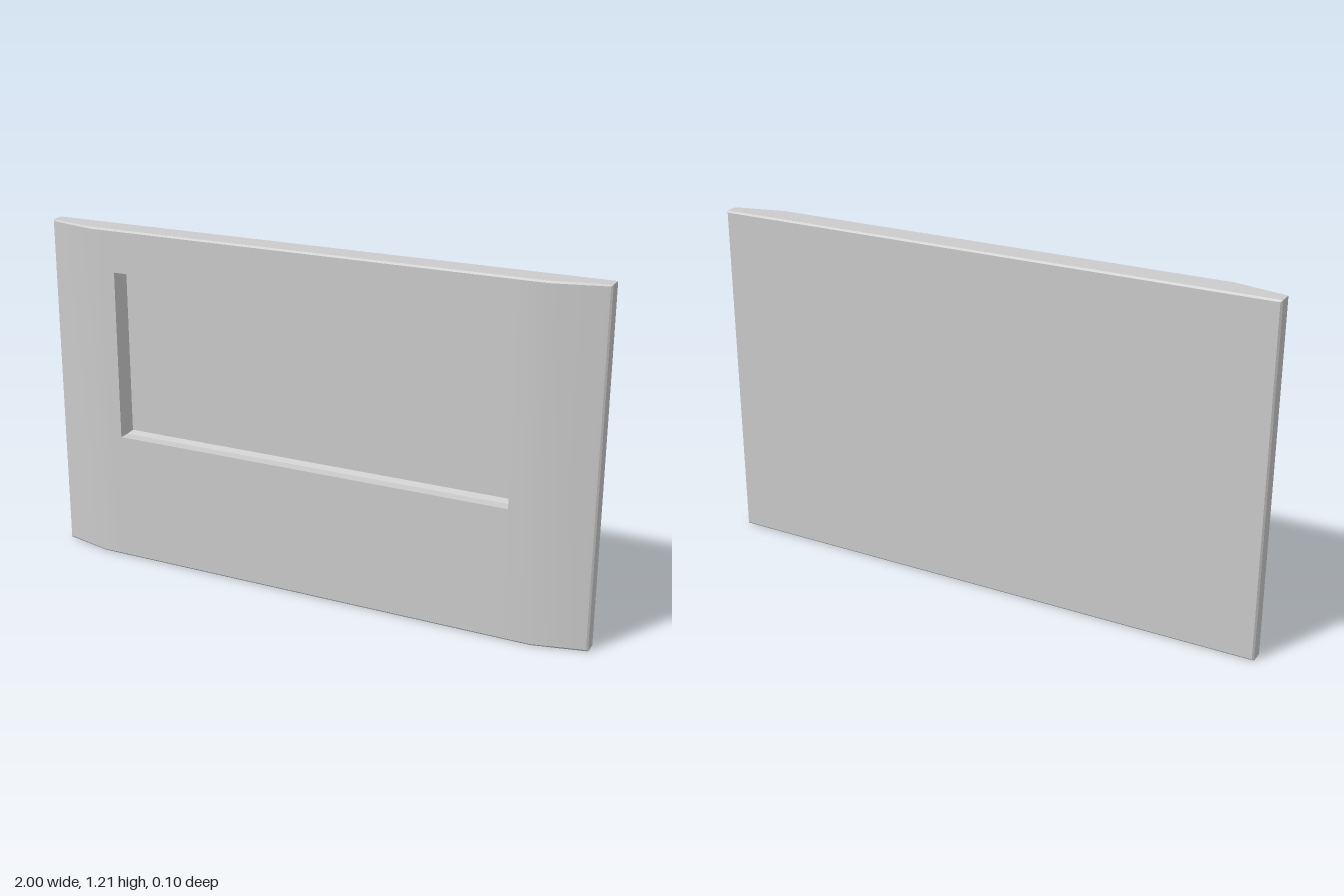
import * as THREE from 'three';
import { toCreasedNormals } from 'three/addons/utils/BufferGeometryUtils.js';

const H = 1.21;   // panel height
const B = 0.006;  // edge bevel
const M = 0.82;   // where the front starts to taper towards the sides

// Rectangular ring, counter-clockwise from the front.
// w: half width, m: x of the extra top and bottom points, zs / zm: depth at the sides / middle
function ring(w, m, y0, y1, zs, zm = zs) {
  return [
    [w, y0, zs], [w, y1, zs], [m, y1, zm], [-m, y1, zm],
    [-w, y1, zs], [-w, y0, zs], [-m, y0, zm], [m, y0, zm],
  ].map((p) => new THREE.Vector3(...p));
}

// Skin consecutive rings, leaving out collapsed triangles
function skin(rings) {
  const pos = [];
  const tri = new THREE.Triangle();
  const add = (a, b, c) => {
    if (tri.set(a, b, c).getArea() < 1e-8) return;
    for (const p of [a, b, c]) pos.push(p.x, p.y, p.z);
  };
  for (let i = 0; i < rings.length - 1; i++) {
    for (let j = 0; j < 8; j++) {
      const k = (j + 1) % 8;
      const [r, s] = [rings[i], rings[i + 1]];
      add(r[j], r[k], s[k]);
      add(r[j], s[k], s[j]);
    }
  }
  const geo = new THREE.BufferGeometry();
  geo.setAttribute('position', new THREE.Float32BufferAttribute(pos, 3));
  return toCreasedNormals(geo, 0.35);
}

export function createModel() {
  const group = new THREE.Group();
  group.name = 'recessedPanel';
  const material = new THREE.MeshStandardMaterial({ color: 0xcccccc });

  const rw = 0.725, ry0 = 0.46, ry1 = 1.06; // recess opening
  const s = 0.01;                           // bevel around the recess floor
  const add = (name, rings) => {
    const mesh = new THREE.Mesh(skin(rings), material);
    mesh.name = name;
    group.add(mesh);
  };

  // Slab: back, bevelled sides, tapered front up to the rim of the opening
  add('panelBody', [
    ring(0, 0, H / 2, H / 2, -0.05),
    ring(1 - B, M, B, H - B, -0.05),
    ring(1, M, 0, H, -0.05 + B),
    ring(1, M, 0, H, 0.002, 0.05 - B),
    ring(1 - B, M, B, H - B, 0.007, 0.05),
    ring(M, M, B, H - B, 0.05),
    ring(rw, rw, B, H - B, 0.05),
    ring(rw, rw, ry0, ry1, 0.05),
  ]);

  // Recess: straight walls, bevel, flat floor
  add('recess', [
    ring(rw, rw, ry0, ry1, 0.05),
    ring(rw, rw, ry0, ry1, 0.01),
    ring(rw - s, rw - s, ry0 + s, ry1 - s, -0.01),
    ring(0, 0, (ry0 + ry1) / 2, (ry0 + ry1) / 2, -0.01),
  ]);

  return group;
}
